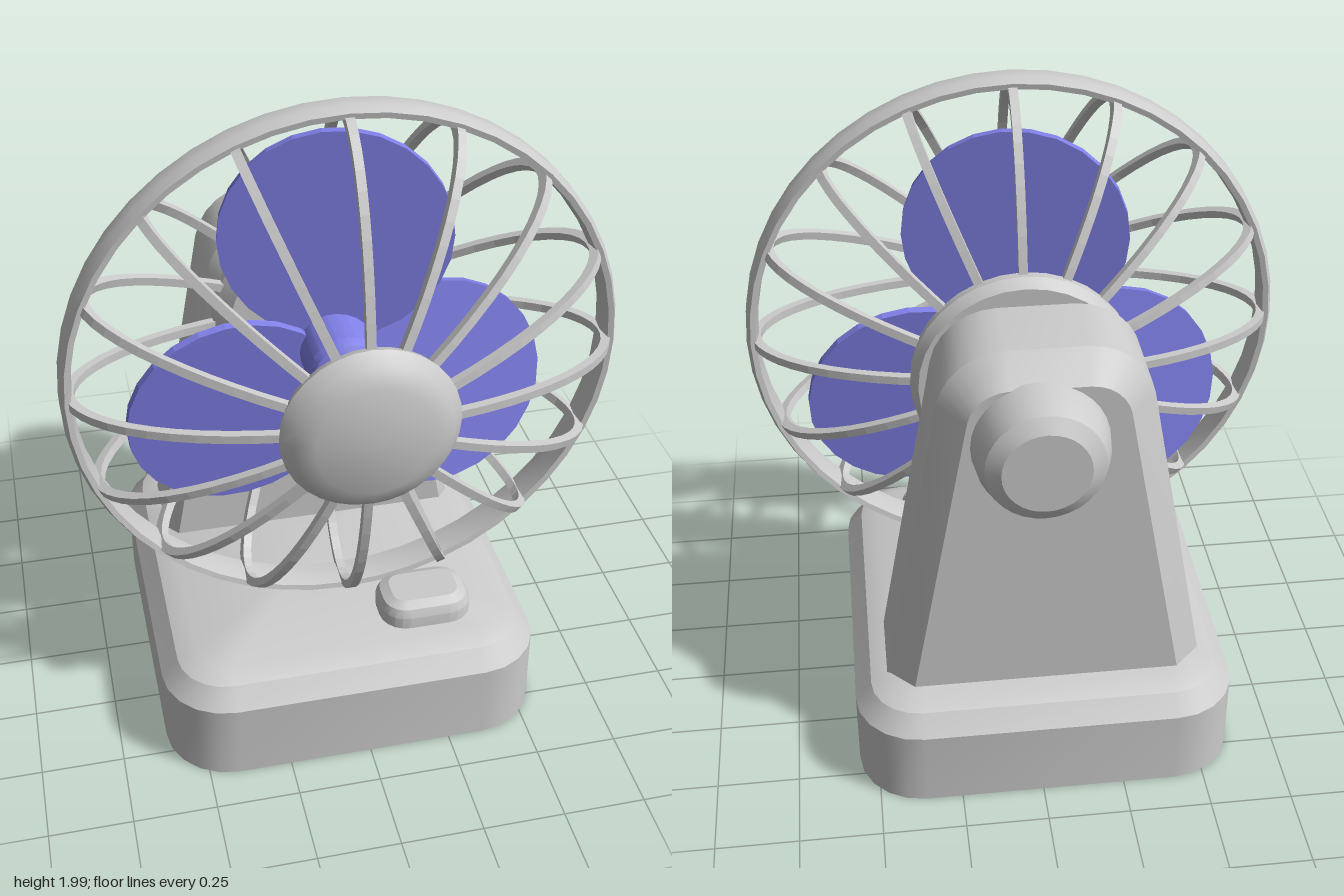
import * as THREE from 'three';
import { toCreasedNormals } from 'three/addons/utils/BufferGeometryUtils.js';

const grey = new THREE.MeshStandardMaterial({ color: 0xcccccc });
const blue = new THREE.MeshStandardMaterial({ color: 0x8080e8 });
const AXIS_Y = 1.172; // height of the fan axis
const BODY_X = -0.025; // base and stand sit slightly off the fan axis

function part(name, geometry, material = grey) {
  const mesh = new THREE.Mesh(geometry, material);
  mesh.name = name;
  return mesh;
}

// Skin between equal-length counter-clockwise xy outlines stacked along +z, capped at both ends
function loft(sections) {
  const pos = [], index = [];
  const n = sections[0].points.length;
  for (const { points, z } of sections) for (const p of points) pos.push(p.x, p.y, z);
  for (let s = 0; s < sections.length - 1; s++) {
    for (let i = 0; i < n; i++) {
      const a = s * n + i, b = s * n + (i + 1) % n;
      index.push(a, b, b + n, a, b + n, a + n);
    }
  }
  const last = (sections.length - 1) * n;
  for (const [start, flip] of [[0, true], [last, false]]) {
    const c = new THREE.Vector2();
    const { points, z } = sections[start / n];
    points.forEach((p) => c.add(p));
    c.divideScalar(n);
    const centre = pos.length / 3;
    pos.push(c.x, c.y, z);
    for (let i = 0; i < n; i++) {
      const a = start + i, b = start + (i + 1) % n;
      index.push(centre, flip ? b : a, flip ? a : b);
    }
  }
  const g = new THREE.BufferGeometry();
  g.setAttribute('position', new THREE.Float32BufferAttribute(pos, 3));
  g.setIndex(index);
  return toCreasedNormals(g, 0.45);
}

function arc(cx, cy, r, from, to, steps) {
  return Array.from({ length: steps + 1 }, (_, i) => {
    const a = from + (to - from) * i / steps;
    return new THREE.Vector2(cx + r * Math.cos(a), cy + r * Math.sin(a));
  });
}

function roundedRect(w, d, r, inset) {
  const x = w / 2 - r, y = d / 2 - r, q = Math.PI / 2;
  return [[x, y], [-x, y], [-x, -y], [x, -y]].flatMap(([cx, cy], i) =>
    arc(cx, cy, r - inset, i * q, (i + 1) * q, 5));
}

// Rounded slab standing upright; steps are [height, inset]
function slab(w, d, r, steps) {
  const g = loft(steps.map(([z, inset]) => ({ z, points: roundedRect(w, d, r, inset) })));
  return g.rotateX(-Math.PI / 2);
}

// Tapered outline of the stand with a rounded top
function standOutline(inset) {
  const bottom = 0.485 - inset, r = 0.2, cx = 0.11, cy = 1.255;
  return [
    new THREE.Vector2(-bottom, 0.32),
    new THREE.Vector2(bottom, 0.32),
    ...arc(cx, cy, r - inset, 0.19, Math.PI / 2, 6),
    ...arc(-cx, cy, r - inset, Math.PI / 2, Math.PI - 0.19, 6),
  ];
}

// Turned part around the fan axis; profile is [radius, z] from back to front
function turned(profile, segments = 32) {
  const pts = profile.map(([r, z]) => new THREE.Vector2(r, z));
  const g = new THREE.LatheGeometry(pts, segments).rotateX(Math.PI / 2);
  g.deleteAttribute('normal');
  g.deleteAttribute('uv');
  return toCreasedNormals(g, 0.5);
}

// Curved rib running from the front cap over the rim to the back plate
function ribGeometry() {
  const width = 0.026, z = 0.225, steps = 24;
  const ellipse = (rx, rz) => arc(0, 0, 1, -1.2, 1.37, steps)
    .map((p) => new THREE.Vector2(p.x * rx, z + p.y * rz));
  const shape = new THREE.Shape([...ellipse(0.805, 0.342), ...ellipse(0.777, 0.316).reverse()]);
  const g = new THREE.ExtrudeGeometry(shape, { depth: width, bevelEnabled: false });
  return g.translate(0, 0, -width / 2).rotateX(Math.PI / 2);
}

// Round paddle blade pointing up, pitched about its radial axis
function bladeGeometry() {
  const depth = 0.026;
  const outline = arc(0, 0, 1, 0, Math.PI * 2, 26).slice(0, -1)
    .map((p) => new THREE.Vector2(p.x * 0.338, 0.36 + p.y * 0.332));
  const g = new THREE.ExtrudeGeometry(new THREE.Shape(outline), { depth, bevelEnabled: false });
  return g.translate(0, 0, -depth / 2).rotateY(-0.16);
}

export function createModel() {
  const model = new THREE.Group();
  model.name = 'deskFan';

  // Base with its button
  const base = part('base', slab(1.167, 1.255, 0.2, [[0, 0], [0.25, 0], [0.31, 0.05], [0.337, 0.11]]));
  base.position.x = BODY_X;
  const button = part('button', slab(0.285, 0.205, 0.08, [[0.3, 0], [0.375, 0], [0.4, 0.012], [0.415, 0.04]]));
  button.position.set(0.222, 0, 0.375);

  // Stand, chamfered more at the back than at the front
  const stand = part('stand', loft([[-0.49, 0.08], [-0.41, 0], [-0.175, 0], [-0.132, 0.035]]
    .map(([z, inset]) => ({ z, points: standOutline(inset) }))));
  stand.position.x = BODY_X;

  // Knob behind the stand
  const knob = part('rearKnob', turned([[0, -0.632], [0.125, -0.632], [0.168, -0.605], [0.188, -0.55], [0.197, -0.48], [0, -0.45]]));
  knob.position.y = 1.197;
  model.add(base, button, stand, knob);

  // Cage: back plate, front cap, rim and ribs
  const cage = new THREE.Group();
  cage.name = 'cage';
  cage.position.y = AXIS_Y;
  cage.add(
    part('backPlate', turned([[0, -0.135], [0.315, -0.135], [0.337, -0.1], [0.335, -0.07], [0.295, -0.01], [0, -0.01]])),
    part('frontCap', turned([[0, 0.47], [0.2, 0.47], [0.25, 0.535], [0.257, 0.56], [0.225, 0.6], [0.17, 0.625], [0, 0.625]])),
    part('rim', turned([[0.79, 0.175], [0.807, 0.172], [0.82, 0.2], [0.82, 0.25], [0.807, 0.278], [0.79, 0.275], [0.783, 0.225], [0.79, 0.175]], 48)),
  );
  const rib = ribGeometry();
  for (let i = 0; i < 16; i++) {
    const mesh = part('rib', rib);
    mesh.rotation.z = i * Math.PI / 8;
    cage.add(mesh);
  }
  model.add(cage);

  // Propeller: shaft and three blades
  const propeller = new THREE.Group();
  propeller.name = 'propeller';
  propeller.position.y = AXIS_Y;
  propeller.add(part('shaft', turned([[0, -0.05], [0.112, -0.05], [0.112, 0.26], [0.1, 0.285], [0.075, 0.3], [0, 0.3]], 24), blue));
  const blade = bladeGeometry();
  for (const degrees of [90, 213, 330]) {
    const mesh = part('blade', blade, blue);
    mesh.position.z = 0.118;
    mesh.rotation.z = THREE.MathUtils.degToRad(degrees - 90);
    propeller.add(mesh);
  }
  model.add(propeller);

  return model;
}
